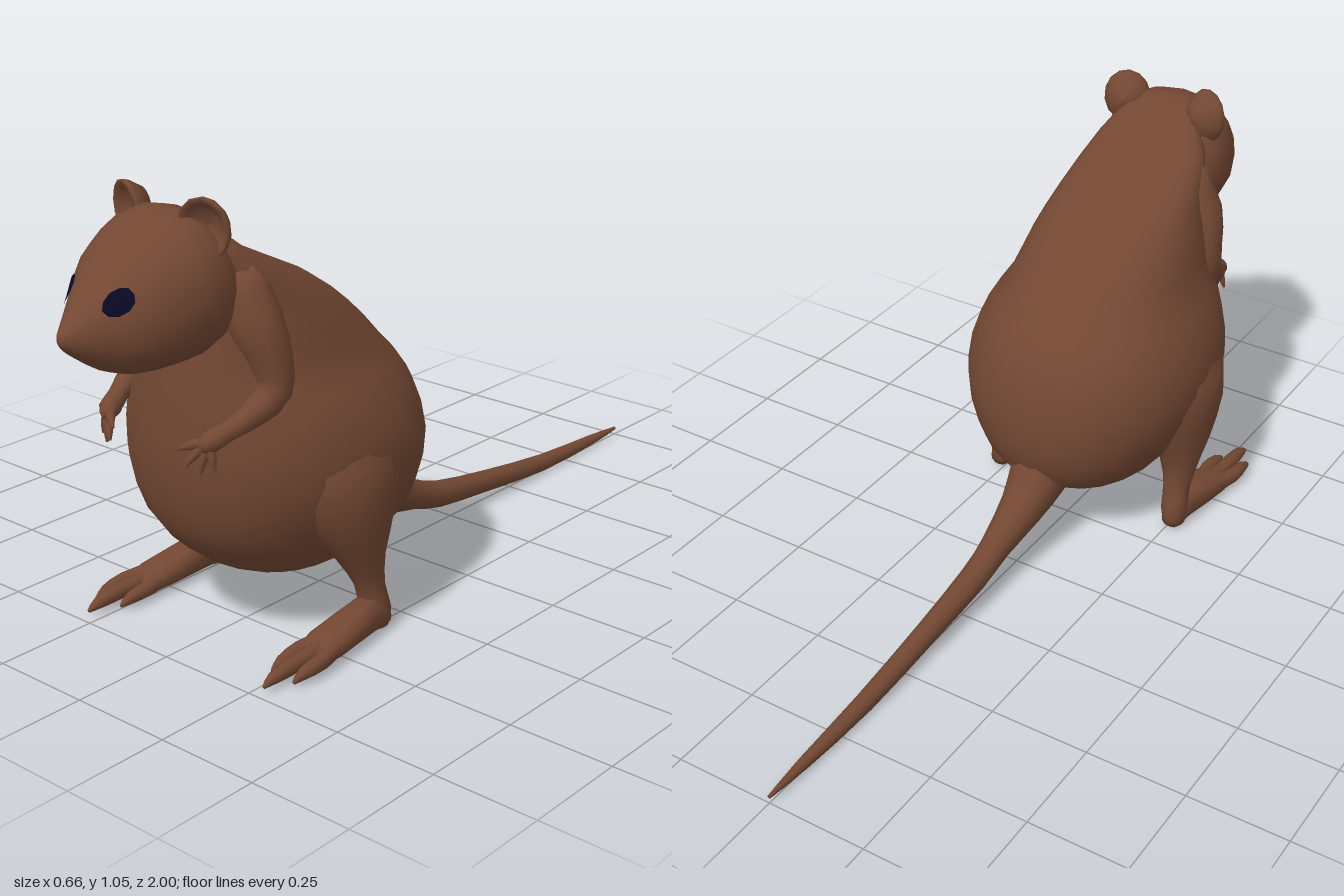
import * as THREE from 'three';

const V = (x, y, z) => new THREE.Vector3(x, y, z);

// Smooth interpolation between rows of numbers
function refine(rows, steps) {
  const out = [];
  for (let i = 0; i < rows.length - 1; i++) {
    const a = rows[Math.max(i - 1, 0)], b = rows[i], c = rows[i + 1], d = rows[Math.min(i + 2, rows.length - 1)];
    for (let s = 0; s < steps; s++) {
      const t = s / steps;
      out.push(b.map((_, k) => 0.5 * (2 * b[k] + (c[k] - a[k]) * t + (2 * a[k] - 5 * b[k] + 4 * c[k] - d[k]) * t * t
        + (3 * b[k] - a[k] - 3 * c[k] + d[k]) * t * t * t)));
    }
  }
  out.push(rows[rows.length - 1]);
  return out;
}

// Closed skin over rings {c, u, v}; power above 2 makes the rings squarer
function skin(rings, sides, power = 2) {
  const pos = [], idx = [];
  const bend = (w) => Math.sign(w) * Math.pow(Math.abs(w), 2 / power);
  for (const { c, u, v } of rings) {
    for (let j = 0; j < sides; j++) {
      const a = (j / sides) * Math.PI * 2;
      const p = c.clone().addScaledVector(u, bend(Math.cos(a))).addScaledVector(v, bend(Math.sin(a)));
      pos.push(p.x, p.y, p.z);
    }
  }
  const last = rings.length - 1, capA = rings.length * sides, capB = capA + 1;
  pos.push(...rings[0].c.toArray(), ...rings[last].c.toArray());
  for (let j = 0; j < sides; j++) {
    const k = (j + 1) % sides;
    for (let i = 0; i < last; i++) {
      const a = i * sides + j, b = i * sides + k;
      idx.push(a, b, b + sides, a, b + sides, a + sides);
    }
    idx.push(capA, k, j, capB, last * sides + j, last * sides + k);
  }
  // Turn the faces outward if the enclosed volume is negative
  const at = (i) => V(pos[3 * i], pos[3 * i + 1], pos[3 * i + 2]).sub(rings[0].c);
  let volume = 0;
  for (let i = 0; i < idx.length; i += 3) volume += at(idx[i]).dot(at(idx[i + 1]).cross(at(idx[i + 2])));
  if (volume < 0) idx.reverse();
  const g = new THREE.BufferGeometry();
  g.setAttribute('position', new THREE.Float32BufferAttribute(pos, 3));
  g.setIndex(idx);
  g.computeVertexNormals();
  return g;
}

// Tapering round limb through rows of [x, y, z, radius]
function limb(rows, side = 1, sides = 10, steps = 2) {
  const pts = refine(rows, steps);
  const at = (i) => V(pts[i][0] * side, pts[i][1], pts[i][2]);
  const rings = pts.map((p, i) => {
    const t = at(Math.min(i + 1, pts.length - 1)).sub(at(Math.max(i - 1, 0))).normalize();
    const u = V(1, 0, 0).addScaledVector(t, -t.x).normalize();
    return { c: at(i), u: u.clone().multiplyScalar(p[3]), v: t.clone().cross(u).multiplyScalar(p[3]) };
  });
  return skin(rings, sides);
}

export function createModel() {
  const model = new THREE.Group();
  const fur = new THREE.MeshStandardMaterial({ color: 0x734833 });
  fur.name = 'brown fur';
  const dark = new THREE.MeshStandardMaterial({ color: 0x0a0822 });
  dark.name = 'dark eye';
  const add = (name, geometry, material = fur, parent = model) => {
    const mesh = new THREE.Mesh(geometry, material);
    mesh.name = name;
    parent.add(mesh);
    return mesh;
  };

  // Body: level rings of [y, back z, front z, half width]
  const bodyRows = [
    [0.12, 0.34, 0.42, 0.04], [0.145, 0.19, 0.53, 0.14], [0.2, 0.09, 0.62, 0.21], [0.29, 0.042, 0.695, 0.27],
    [0.42, 0.04, 0.725, 0.31], [0.55, 0.075, 0.728, 0.285], [0.64, 0.145, 0.725, 0.235], [0.73, 0.235, 0.715, 0.21],
    [0.82, 0.36, 0.705, 0.18], [0.92, 0.565, 0.7, 0.145], [0.99, 0.645, 0.7, 0.09],
  ];
  add('body', skin(refine(bodyRows, 2).map(([y, b, f, w]) => (
    { c: V(0, y, (b + f) / 2), u: V(w, 0, 0), v: V(0, 0, (f - b) / 2) })), 24, 2.2));

  // Head: upright rings of [z, bottom y, top y, half width]
  const headRows = [
    [0.6, 0.74, 0.92, 0.12], [0.67, 0.7, 1.01, 0.16], [0.75, 0.688, 1.015, 0.165], [0.84, 0.692, 0.97, 0.133],
    [0.9, 0.712, 0.908, 0.09], [0.96, 0.752, 0.848, 0.043], [0.988, 0.775, 0.822, 0.02], [1.0, 0.79, 0.81, 0.007],
  ];
  const head = add('head', skin(refine(headRows, 2).map(([z, b, t, w]) => (
    { c: V(0, (b + t) / 2, z), u: V(w, 0, 0), v: V(0, (t - b) / 2, 0) })), 20, 2.15));

  // Tail
  add('tail', limb([
    [0, 0.29, 0.2, 0.09], [0, 0.21, 0.1, 0.075], [0, 0.16, 0.02, 0.056], [0, 0.115, -0.1, 0.038], [0, 0.083, -0.2, 0.034],
    [0, 0.055, -0.4, 0.028], [0, 0.028, -0.65, 0.023], [0, 0.024, -0.88, 0.014], [0, 0.024, -1, 0.004],
  ]));

  const ray = new THREE.Raycaster();
  for (const side of [1, -1]) {
    const label = side > 0 ? 'left' : 'right';
    const group = (name) => {
      const g = new THREE.Group();
      g.name = label + name;
      model.add(g);
      return g;
    };

    // Eye: a thin disc laid on the surface of the head
    const eye = new THREE.RingGeometry(0, 0.027, 10, 3);
    const p = eye.attributes.position;
    for (let i = 0; i < p.count; i++) {
      const x = side * 0.071 + p.getX(i) * 0.88, y = 0.869 + p.getY(i);
      ray.set(V(x, y, 2), V(0, 0, -1));
      const hit = ray.intersectObject(head)[0];
      const n = hit.face.normal;
      p.setXYZ(i, x + n.x * 0.004, y + n.y * 0.004, hit.point.z + n.z * 0.004);
    }
    eye.computeVertexNormals();
    add(label + 'Eye', eye, dark);

    // Ear: cupped dish with a rounded rim
    const dish = [[0, -0.04], [0.04, -0.03], [0.06, 0], [0.063, 0.012], [0.056, 0.016], [0.046, 0.004], [0.028, -0.01], [0, -0.016]];
    const ear = add(label + 'Ear', new THREE.LatheGeometry(dish.map(([r, a]) => new THREE.Vector2(r, a)), 14).rotateX(Math.PI / 2));
    ear.scale.set(0.95, 1.08, 1);
    ear.position.set(side * 0.11, 0.987, 0.695);
    ear.rotation.set(0.1, side * 0.3, 0);

    // Arm with four clawed fingers
    const arm = group('Arm');
    add('arm', limb([
      [0.1, 0.86, 0.61, 0.065], [0.155, 0.77, 0.605, 0.062], [0.18, 0.69, 0.59, 0.049], [0.188, 0.625, 0.595, 0.042],
      [0.185, 0.59, 0.65, 0.03], [0.168, 0.565, 0.705, 0.022], [0.152, 0.548, 0.745, 0.024], [0.142, 0.535, 0.762, 0.012],
    ], side), fur, arm);
    for (const [x, y, z] of [[0.098, 0.53, 0.785], [0.115, 0.495, 0.78], [0.142, 0.48, 0.765], [0.17, 0.49, 0.75]]) {
      add('finger', limb([[0.15, 0.547, 0.742, 0.011], [(0.15 + x) / 2, (0.555 + y) / 2, (0.75 + z) / 2, 0.011], [x, y, z, 0.003]], side, 6), fur, arm);
    }

    // Hind leg: level rings of [y, x, z, x radius, z radius]
    const leg = group('HindLeg');
    const legRows = [
      [0.57, 0.18, 0.42, 0.05, 0.09], [0.43, 0.2, 0.42, 0.12, 0.16], [0.3, 0.235, 0.41, 0.085, 0.12], [0.2, 0.25, 0.39, 0.052, 0.062],
      [0.12, 0.256, 0.365, 0.034, 0.036], [0.06, 0.26, 0.352, 0.034, 0.04], [0.018, 0.262, 0.35, 0.026, 0.032],
    ];
    add('leg', skin(refine(legRows, 2).map(([y, x, z, rx, rz]) => (
      { c: V(side * x, y, z), u: V(rx, 0, 0), v: V(0, 0, rz) })), 16), fur, leg);

    // Foot: upright rings of [z, x, half width, top y], with three long toes
    const footRows = [[0.325, 0.262, 0.024, 0.06], [0.38, 0.263, 0.036, 0.1], [0.45, 0.266, 0.045, 0.086], [0.53, 0.27, 0.05, 0.068], [0.58, 0.271, 0.042, 0.05]];
    add('foot', skin(footRows.map(([z, x, w, t]) => (
      { c: V(side * x, (t + 0.012) / 2, z), u: V(w, 0, 0), v: V(0, (t - 0.012) / 2, 0) })), 12, 2.4), fur, leg);
    for (const [x, z] of [[0.238, 0.665], [0.275, 0.73], [0.31, 0.675]]) {
      add('toe', limb([[0.5 * x + 0.135, 0.042, 0.5, 0.02], [x, 0.036, z - 0.09, 0.019], [x, 0.03, z - 0.03, 0.014], [x, 0.02, z, 0.004]], side, 8), fur, leg);
    }
  }
  return model;
}
